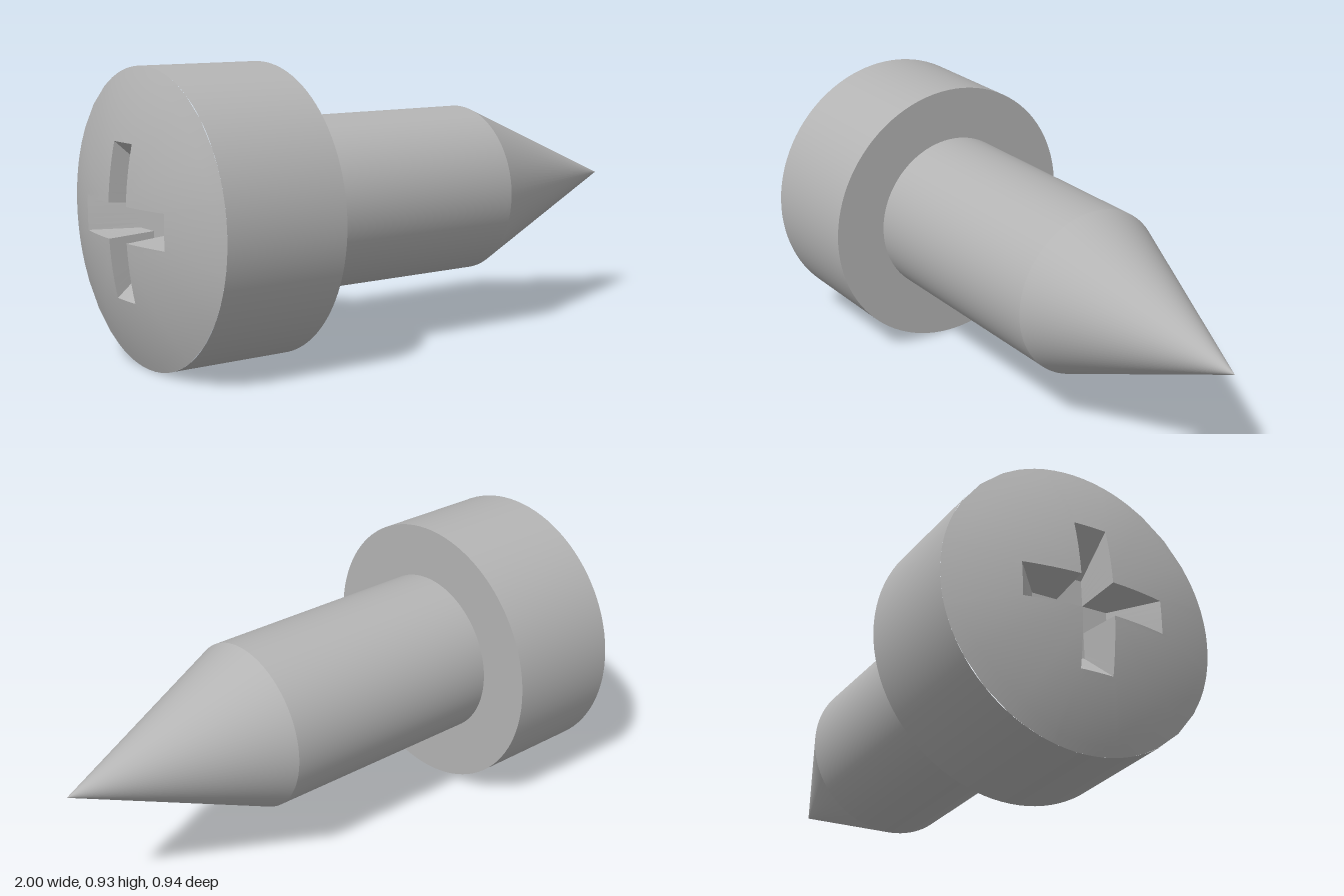
import * as THREE from 'three';

const HEAD_R = 0.465, SHAFT_R = 0.283;
const RIM_X = -0.9, COLLAR_X = -0.487, TAPER_X = 0.325, TIP_X = 1.0;
const DOME_H = 0.1, DOME_R = (HEAD_R ** 2 + DOME_H ** 2) / (2 * DOME_H);

// x of the domed head at radius r
const domeX = r => RIM_X - DOME_H + DOME_R - Math.sqrt(DOME_R ** 2 - r * r);

// Points [y, z] round a cross with arms of half length L and half width w
function crossOutline(L, w) {
  const arm = [], n = 6;
  for (let i = 0; i < n; i++) arm.push([L, -w + 2 * w * i / n]);
  for (let i = 0; i < n; i++) arm.push([L + (w - L) * i / n, w]);
  for (let i = 0; i < n; i++) arm.push([w, w + (L - w) * i / n]);
  const pts = [];
  for (let q = 0; q < 4; q++) {
    const c = [1, 0, -1, 0][q], s = [0, 1, 0, -1][q];
    for (const [y, z] of arm) pts.push([y * c - z * s, y * s + z * c]);
  }
  return pts;
}

// Joins closed rings, innermost first, into a surface facing -x
function loft(rings) {
  const n = rings[0].length, index = [];
  for (let j = 0; j < rings.length - 1; j++) {
    for (let i = 0; i < n; i++) {
      const k = (i + 1) % n;
      const a = j * n + i, b = j * n + k, c = a + n, d = b + n;
      index.push(a, b, c, b, d, c);
    }
  }
  const geo = new THREE.BufferGeometry();
  geo.setAttribute('position', new THREE.Float32BufferAttribute(rings.flat(2), 3));
  geo.setIndex(index);
  geo.computeVertexNormals();
  return geo;
}

export function createModel() {
  const model = new THREE.Group();
  model.name = 'screw';
  const steel = new THREE.MeshStandardMaterial({ color: 0xb4b4b4 });
  steel.name = 'steel';

  const body = new THREE.Group();
  body.name = 'screwBody';
  body.position.set(0, 0.467, 0.009);
  body.rotation.y = -0.021;
  model.add(body);

  const add = (name, geo) => {
    const mesh = new THREE.Mesh(geo, steel);
    mesh.name = name;
    body.add(mesh);
  };
  // Open tube along x from x0 (radius r0) to x1 (radius r1)
  const tube = (name, x0, r0, x1, r1) => {
    const geo = new THREE.CylinderGeometry(r1, r0, x1 - x0, 96, 1, true);
    add(name, geo.rotateZ(-Math.PI / 2).translate((x0 + x1) / 2, 0, 0));
  };

  // Head side, underside, shaft and point
  tube('headSide', RIM_X, HEAD_R, COLLAR_X, HEAD_R);
  add('headUnderside', new THREE.RingGeometry(SHAFT_R, HEAD_R, 96)
    .rotateY(Math.PI / 2).translate(COLLAR_X, 0, 0));
  tube('shaft', COLLAR_X, SHAFT_R, TAPER_X, SHAFT_R);
  tube('point', TAPER_X, SHAFT_R, TIP_X, 0);

  // Domed head face, open where the cross recess is cut
  const outline = crossOutline(0.24, 0.055);
  const rings = [], steps = 8;
  for (let j = 0; j <= steps; j++) {
    rings.push(outline.map(([y, z]) => {
      const r0 = Math.hypot(y, z), r = r0 + (HEAD_R - r0) * j / steps;
      return [domeX(r), y * r / r0, z * r / r0];
    }));
  }
  add('headDome', loft(rings));

  // Tapered cross recess with a flat floor
  const floorX = -0.85;
  const floor = crossOutline(0.13, 0.045).map(([y, z]) => [floorX, y, z]);
  const centre = floor.map(() => [floorX, 0, 0]);
  const recess = loft([centre, floor, rings[0]]).toNonIndexed();
  recess.computeVertexNormals();
  add('crossRecess', recess);

  return model;
}
